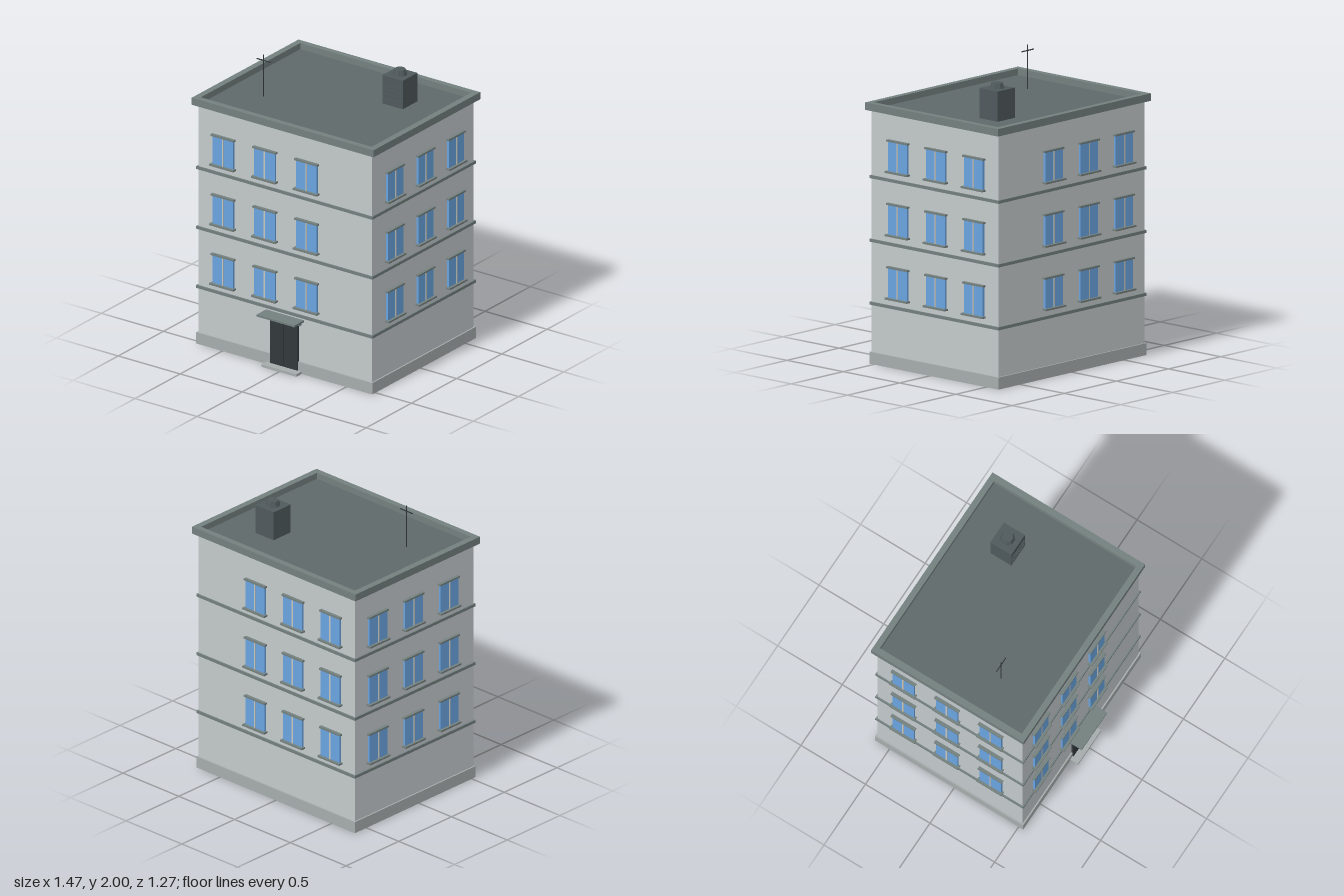
import * as THREE from 'three';

const mat = (color) => new THREE.MeshStandardMaterial({ color, flatShading: true });
const WALL = mat(0xc3c9cb), PLINTH = mat(0xa6acac), TRIM = mat(0x73807e), ROOF = mat(0x5f696a);
const GLASS = mat(0x6aa4e0), MULLION = mat(0xc8c8c0), DOOR = mat(0x32383b), METAL = mat(0x4f595c);

// Body footprint
const HALF_X = 0.70, Z_FRONT = 0.525, Z_BACK = -0.60;
const Z_MID = (Z_FRONT + Z_BACK) / 2, DEPTH = Z_FRONT - Z_BACK;

function add(parent, name, geometry, material, x, y, z) {
  const mesh = new THREE.Mesh(geometry, material);
  mesh.name = name;
  mesh.position.set(x, y, z);
  parent.add(mesh);
  return mesh;
}

// Box given by its limits on each axis
function box(parent, name, material, x0, x1, y0, y1, z0, z1) {
  return add(parent, name, new THREE.BoxGeometry(x1 - x0, y1 - y0, z1 - z0), material,
    (x0 + x1) / 2, (y0 + y1) / 2, (z0 + z1) / 2);
}

// Slab around the whole building, sticking out by a margin
function slab(parent, name, material, margin, y0, y1) {
  return box(parent, name, material, -HALF_X - margin, HALF_X + margin, y0, y1,
    Z_BACK - margin, Z_FRONT + margin);
}

// Window on the z = 0 plane facing +z, its sill bottom at y = 0
function makeWindow() {
  const g = new THREE.Group();
  g.name = 'window';
  box(g, 'glass', GLASS, -0.084, 0.084, 0.01, 0.21, -0.01, 0.015);
  box(g, 'mullion', MULLION, -0.005, 0.005, 0.012, 0.208, 0, 0.018);
  box(g, 'sill', TRIM, -0.097, 0.097, 0, 0.012, -0.01, 0.033);
  box(g, 'lintel', TRIM, -0.094, 0.094, 0.208, 0.22, -0.01, 0.022);
  return g;
}

export function createModel() {
  const model = new THREE.Group();
  model.name = 'apartmentBuilding';

  // Walls, plinth and floor bands
  box(model, 'walls', WALL, -HALF_X, HALF_X, 0.04, 1.698, Z_BACK, Z_FRONT);
  slab(model, 'plinth', PLINTH, 0.01, 0, 0.08);
  for (const y of [0.405, 0.825, 1.25]) slab(model, 'floorBand', TRIM, 0.01, y - 0.01, y + 0.01);

  // Cornice: a rectangular ring with the roof deck sunk inside it
  const w = HALF_X + 0.033, d = DEPTH / 2 + 0.028;
  const ring = new THREE.Shape([[-w, -d], [w, -d], [w, d], [-w, d]].map((p) => new THREE.Vector2(...p)));
  const iw = w - 0.044, id = d - 0.041;
  ring.holes.push(new THREE.Path([[-iw, -id], [-iw, id], [iw, id], [iw, -id]].map((p) => new THREE.Vector2(...p))));
  const corniceGeo = new THREE.ExtrudeGeometry(ring, { depth: 0.05, bevelEnabled: false });
  corniceGeo.rotateX(-Math.PI / 2);
  add(model, 'cornice', corniceGeo, TRIM, 0, 1.696, Z_MID);
  box(model, 'roofDeck', ROOF, -iw, iw, 1.69, 1.703, Z_MID - id, Z_MID + id);

  // Windows: three floors, three per side
  const alongX = [-0.493, -0.156, 0.181], alongZ = [0.283, -0.054, -0.391];
  for (let floor = 0; floor < 3; floor++) {
    const y = 0.456 + floor * 0.423;
    const place = (x, z, turn) => {
      const win = makeWindow();
      win.position.set(x, y, z);
      win.rotation.y = turn;
      model.add(win);
    };
    for (const x of alongX) {
      place(x, Z_FRONT, 0);
      place(x, Z_BACK, Math.PI);
    }
    for (const z of alongZ) {
      place(HALF_X, z, Math.PI / 2);
      place(-HALF_X, z, -Math.PI / 2);
    }
  }

  // Entrance
  const entrance = new THREE.Group();
  entrance.name = 'entrance';
  model.add(entrance);
  for (const s of [-1, 1]) {
    const leaf = box(entrance, 'doorLeaf', DOOR, 0.001, 0.112, 0.015, 0.345, 0.51, 0.541);
    leaf.position.x *= s;
  }
  box(entrance, 'doorLintel', TRIM, -0.133, 0.133, 0.341, 0.354, 0.515, 0.546);
  box(entrance, 'canopy', TRIM, -0.153, 0.153, 0.368, 0.381, 0.515, 0.632);
  box(entrance, 'step', PLINTH, -0.14, 0.14, 0, 0.018, 0.525, 0.594);

  // Rooftop vent housing with louvres and an eight-sided cap
  const vent = new THREE.Group();
  vent.name = 'ventHousing';
  model.add(vent);
  box(vent, 'housing', METAL, 0.268, 0.432, 1.70, 1.905, -0.346, -0.184);
  for (let i = 0; i < 4; i++) {
    const y = 1.742 + i * 0.032;
    box(vent, 'louvre', METAL, 0.275, 0.425, y - 0.004, y + 0.004, -0.19, -0.18);
  }
  const cap = new THREE.CylinderGeometry(0.039, 0.05, 0.036, 8);
  cap.rotateY(Math.PI / 8);
  add(vent, 'ventCap', cap, METAL, 0.35, 1.923, -0.266);

  // Antenna
  const antenna = new THREE.Group();
  antenna.name = 'antenna';
  model.add(antenna);
  add(antenna, 'mast', new THREE.CylinderGeometry(0.004, 0.004, 0.3, 6), DOOR, -0.425, 1.85, 0.182);
  box(antenna, 'crossbar', DOOR, -0.481, -0.369, 1.957, 1.963, 0.179, 0.185);

  return model;
}
